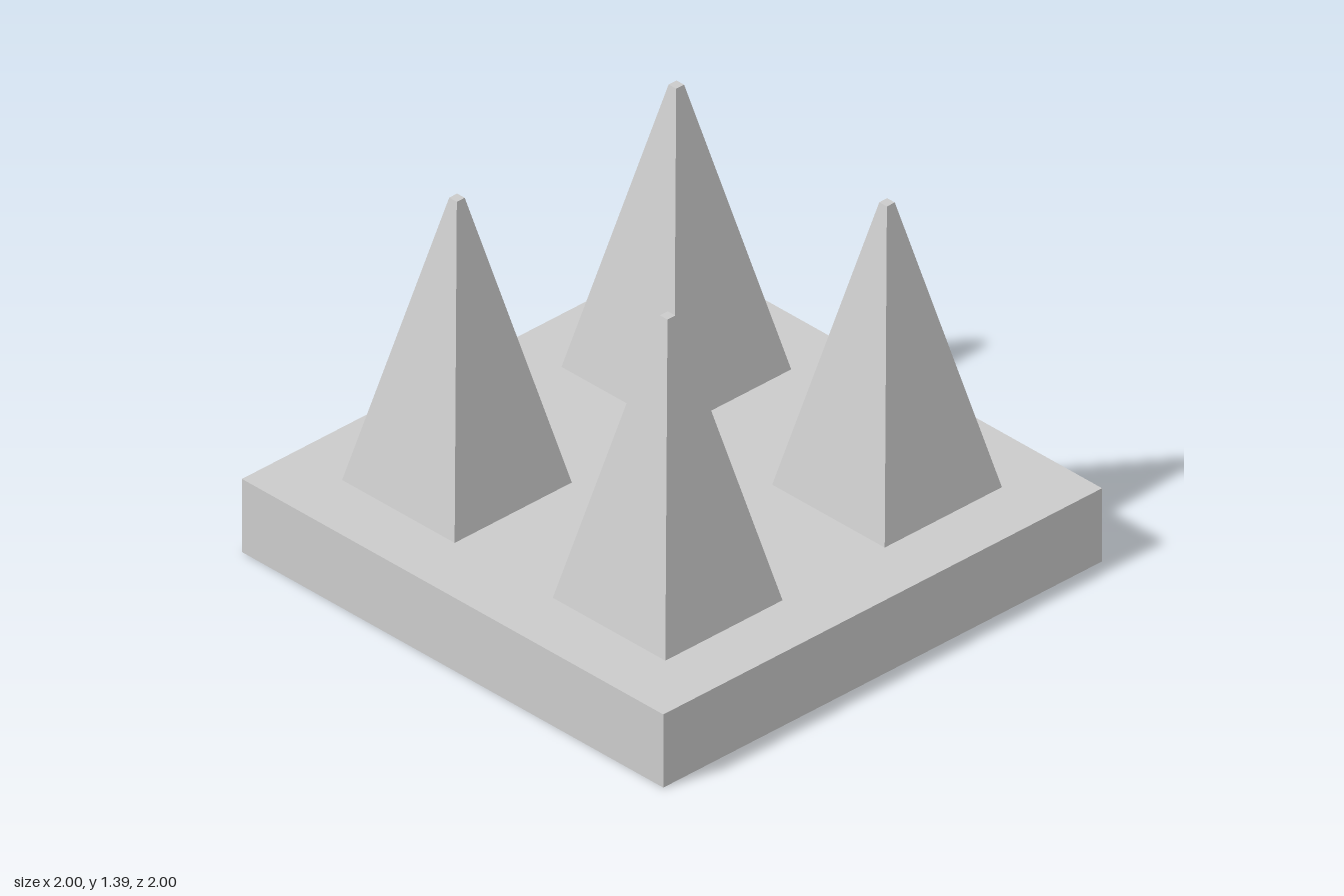
import * as THREE from 'three';

const BASE_TOP = 0.285, SPIKE_BOTTOM = 0.25, SPIKE_TOP = 1.39;

// Thin-walled tray, open underneath
function createBase(material) {
  const geometry = new THREE.BoxGeometry(2, BASE_TOP, 2);
  // Drop the underside (fourth face of the box)
  const index = Array.from(geometry.index.array);
  index.splice(18, 6);
  geometry.setIndex(index);
  geometry.clearGroups();
  geometry.translate(0, BASE_TOP / 2, 0);
  const base = new THREE.Mesh(geometry, material);
  base.name = 'base';
  return base;
}

// Square tapered spike with a small flat tip, reaching just below the base top
function createSpikeGeometry() {
  const height = SPIKE_TOP - SPIKE_BOTTOM;
  const geometry = new THREE.CylinderGeometry(0.018 * Math.SQRT2, 0.275 * Math.SQRT2, height, 4);
  geometry.rotateY(Math.PI / 4);
  geometry.translate(0, SPIKE_BOTTOM + height / 2, 0);
  return geometry;
}

export function createModel() {
  const model = new THREE.Group();
  model.name = 'spikedPlate';

  model.add(createBase(new THREE.MeshStandardMaterial({ color: 0xcccccc, side: THREE.DoubleSide })));

  // Four spikes, one per quarter of the base
  const spikeGeometry = createSpikeGeometry();
  const spikeMaterial = new THREE.MeshStandardMaterial({ color: 0xcccccc, flatShading: true });
  for (const x of [-0.5, 0.5]) {
    for (const z of [-0.5, 0.5]) {
      const spike = new THREE.Mesh(spikeGeometry, spikeMaterial);
      spike.name = (z > 0 ? 'front' : 'back') + (x > 0 ? 'Left' : 'Right') + 'Spike';
      spike.position.set(x, 0, z);
      model.add(spike);
    }
  }
  return model;
}
